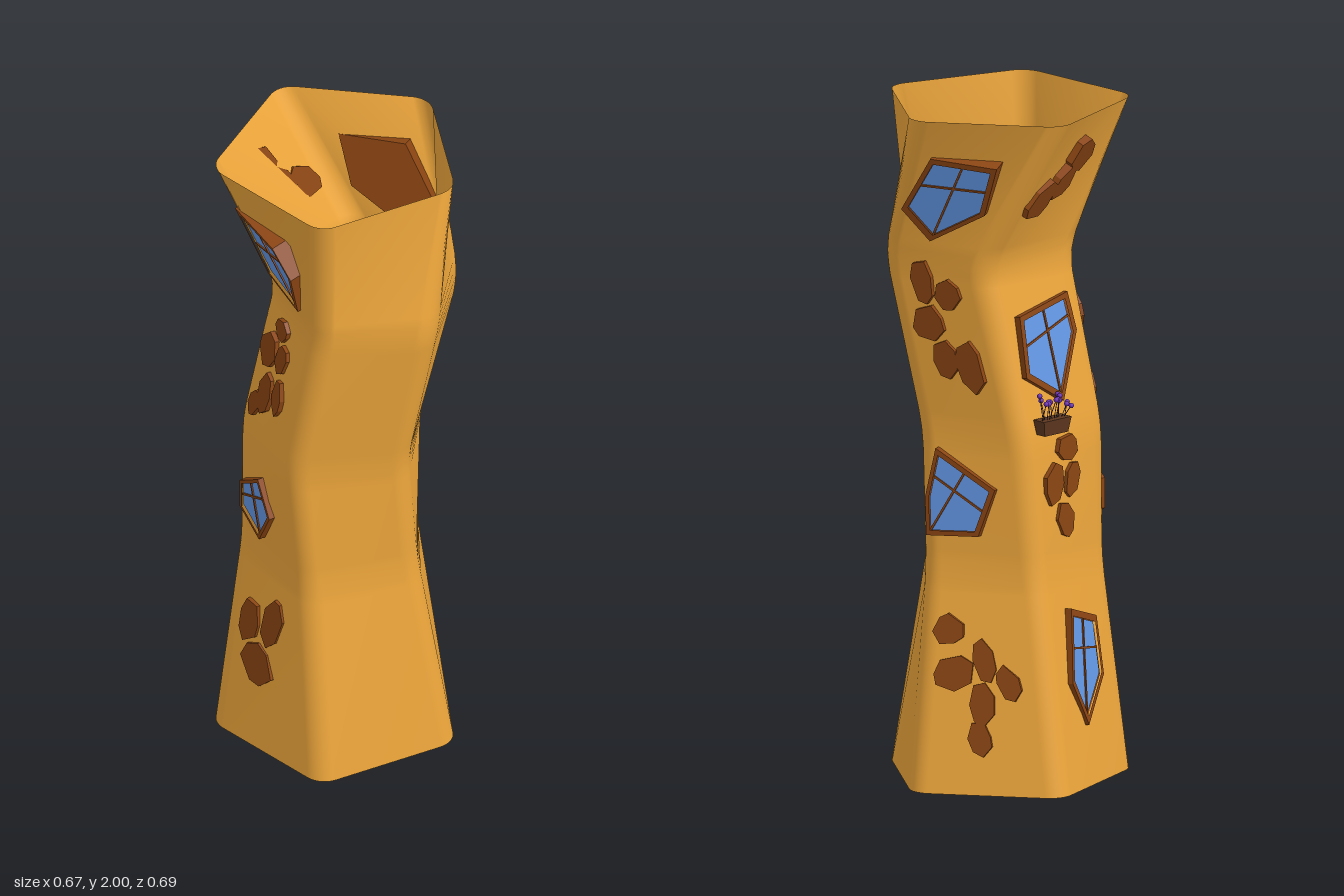
import * as THREE from 'three';

const mat = (color, side = THREE.FrontSide) => new THREE.MeshStandardMaterial({ color, side });
const plaster = mat(0xf0a83c, THREE.DoubleSide);
const brown = mat(0x8b4513), glass = mat(0x6499e8), boxWood = mat(0x5e3820);
const purple = mat(0x6a2fb0), stemGreen = mat(0x3a3048);

// Tower sections: rounded pentagons, each shifted and twisted
const levels = [
  { y: 0, x: -0.025, z: 0, R: 0.29, r: 0.07, twist: 0 },
  { y: 0.64, x: -0.026, z: 0.015, R: 0.205, r: 0.068, twist: 9 },
  { y: 1.04, x: -0.025, z: 0.025, R: 0.2, r: 0.07, twist: 18 },
  { y: 1.55, x: 0.078, z: 0.015, R: 0.2, r: 0.075, twist: 23 },
  { y: 2, x: -0.025, z: 0, R: 0.29, r: 0.07, twist: 0 },
];
const rad = THREE.MathUtils.degToRad;

function between(y, pointAt) {
  let i = 0;
  while (i < levels.length - 2 && y > levels[i + 1].y) i++;
  const a = levels[i], b = levels[i + 1];
  return pointAt(a).lerp(pointAt(b), (y - a.y) / (b.y - a.y));
}

// Point on a section: corner k, step j of its arc
const ARC = 8;
const ringPoint = (k, j) => (L) => {
  const c = rad(L.twist + 72 * k), a = c + rad(-36 + (72 * j) / ARC);
  return new THREE.Vector3(L.x + L.R * Math.cos(c) + L.r * Math.cos(a), L.y,
    L.z + L.R * Math.sin(c) + L.r * Math.sin(a));
};

function towerWall() {
  const rows = [];
  levels.forEach((L, i) => {
    if (i === 0 || i === levels.length - 1) rows.push(L.y);
    else for (let d = -2; d <= 2; d++) rows.push(L.y + d * 0.03);
  });
  const n = 5 * (ARC + 1), pos = [], index = [];
  rows.forEach((y) => {
    // soften the bends by averaging just above and below
    const w = Math.min(0.05, y, 2 - y);
    for (let k = 0; k < 5; k++) for (let j = 0; j <= ARC; j++) {
      const f = ringPoint(k, j);
      const p = between(y, f).add(between(y - w, f)).add(between(y + w, f)).divideScalar(3);
      pos.push(p.x, p.y, p.z);
    }
  });
  for (let r = 0; r < rows.length - 1; r++) for (let i = 0; i < n; i++) {
    const a = r * n + i, b = r * n + ((i + 1) % n);
    index.push(a, a + n, b, b, a + n, b + n);
  }
  const g = new THREE.BufferGeometry();
  g.setAttribute('position', new THREE.Float32BufferAttribute(pos, 3));
  g.setIndex(index);
  g.computeVertexNormals();
  return new THREE.Mesh(g, plaster);
}

// Point on flat side, s to the right as seen from outside
const sidePoint = (angle, s) => (L) => {
  const a = rad(angle + L.twist), d = L.R * Math.cos(rad(36)) + L.r;
  return new THREE.Vector3(L.x + d * Math.cos(a) + s * Math.sin(a), L.y,
    L.z + d * Math.sin(a) - s * Math.cos(a));
};

// Group lying on the wall: x right, y up the slope, z outward
function onWall(name, angle, y, s, upright = false) {
  const g = new THREE.Group();
  g.name = name;
  const at = (yy, ss) => between(yy, sidePoint(angle, ss));
  const X = at(y, s + 0.1).sub(at(y, s - 0.1)).normalize();
  const up = upright ? new THREE.Vector3(0, 1, 0) : at(y + 0.1, s).sub(at(y - 0.1, s));
  const Z = X.clone().cross(up).normalize();
  g.quaternion.setFromRotationMatrix(new THREE.Matrix4().makeBasis(X, Z.clone().cross(X), Z));
  g.position.copy(at(y, s));
  return g;
}

const toShape = (pts) => new THREE.Shape(pts.map(([x, y]) => new THREE.Vector2(x, y)));

function slab(name, shape, z0, z1, material) {
  const g = new THREE.ExtrudeGeometry(shape, { depth: z1 - z0, bevelEnabled: false });
  g.translate(0, 0, z0);
  const m = new THREE.Mesh(g, material);
  m.name = name;
  return m;
}

function addWindow(parent, angle, y, s, pts) {
  const g = onWall('window', angle, y, s);
  const cx = pts.reduce((t, p) => t + p[0], 0) / pts.length;
  const cy = pts.reduce((t, p) => t + p[1], 0) / pts.length;
  const inner = pts.map(([a, b]) => [cx + (a - cx) * 0.86, cy + (b - cy) * 0.86]);
  const rim = toShape(pts);
  rim.holes.push(toShape(inner));
  g.add(slab('windowBack', toShape(pts), -0.03, 0.008, brown));
  g.add(slab('windowFrame', rim, 0.008, 0.022, brown));
  g.add(slab('windowPane', toShape(inner), 0.008, 0.014, glass));
  // crossing glazing bars
  const mid = (i) => [0, 1].map((c) => (inner[i][c] + inner[(i + 1) % 5][c]) / 2);
  [[mid(0), inner[3]], [mid(1), mid(4)]].forEach(([a, b]) => {
    const dx = b[0] - a[0], dy = b[1] - a[1];
    const bar = new THREE.Mesh(new THREE.BoxGeometry(Math.hypot(dx, dy), 0.006, 0.006), brown);
    bar.name = 'glazingBar';
    bar.position.set((a[0] + b[0]) / 2, (a[1] + b[1]) / 2, 0.015);
    bar.rotation.z = Math.atan2(dy, dx);
    g.add(bar);
  });
  parent.add(g);
}

let seed = 7;
const rnd = () => (seed = (seed * 16807) % 2147483647) / 2147483647;

// Stones as [right, up, width, height, tilt]
function addStones(parent, angle, y, s, stones) {
  const g = onWall('stonePatch', angle, y, s);
  stones.forEach(([sx, sy, w, h, tilt]) => {
    const pts = [];
    for (let i = 0; i < 7; i++) {
      const a = ((i + 0.5 * rnd()) / 7) * Math.PI * 2, k = 0.47 + 0.08 * rnd();
      pts.push([w * k * Math.cos(a), h * k * Math.sin(a)]);
    }
    const m = slab('stone', toShape(pts), -0.012, 0.015, brown);
    m.position.set(sx, sy, 0);
    m.rotation.z = tilt;
    g.add(m);
  });
  parent.add(g);
}

function flowerBox() {
  const g = onWall('flowerBox', 180, 1.08, -0.065, true);
  const boxGeo = new THREE.BoxGeometry(0.11, 0.045, 0.045);
  const p = boxGeo.attributes.position;
  for (let i = 0; i < p.count; i++) if (p.getY(i) < 0) p.setXYZ(i, p.getX(i) * 0.85, p.getY(i), p.getZ(i) * 0.75);
  boxGeo.computeVertexNormals();
  const box = new THREE.Mesh(boxGeo, boxWood);
  box.name = 'planter';
  box.position.z = 0.028;
  g.add(box);
  for (let i = 0; i < 14; i++) {
    const x = -0.045 + (0.09 * i) / 13;
    const a = new THREE.Vector3(x, 0.015, 0.03);
    const b = new THREE.Vector3(x * 1.3, 0.045 + 0.055 * rnd(), 0.015 + 0.055 * rnd());
    const stem = new THREE.Mesh(new THREE.TubeGeometry(new THREE.LineCurve3(a, b), 1, 0.0015, 4), stemGreen);
    stem.name = 'stem';
    const bloom = new THREE.Mesh(new THREE.IcosahedronGeometry(0.008, 1), purple);
    bloom.name = 'bloom';
    bloom.position.copy(b);
    g.add(stem, bloom);
  }
  return g;
}

export function createModel() {
  const model = new THREE.Group();
  model.name = 'tower';
  const wall = towerWall();
  wall.name = 'towerWall';
  model.add(wall);

  // front side
  addWindow(model, 108, 1.74, -0.04, [[-0.125, 0.127], [0.063, 0.095], [0.125, 0.005], [0.106, -0.138], [-0.03, -0.074]]);
  addStones(model, 108, 1.3, -0.035, [[0.033, 0.164, 0.07, 0.07, 0.3], [-0.027, 0.06, 0.09, 0.13, -0.4], [0.053, 0.074, 0.06, 0.11, -0.3],
    [0.06, -0.053, 0.055, 0.12, 0], [-0.013, -0.085, 0.075, 0.15, -0.2], [-0.065, -0.15, 0.055, 0.1, -0.4]]);
  addWindow(model, 108, 0.82, -0.04, [[-0.08, 0.042], [0.018, 0.106], [0.08, 0], [0.025, -0.106], [-0.08, -0.048]]);
  addStones(model, 108, 0.385, -0.03, [[-0.047, 0.03, 0.08, 0.16, -0.15], [0.047, 0.063, 0.085, 0.18, -0.2], [0, -0.1, 0.13, 0.13, 0.5]]);

  // side facing -x
  addStones(model, 180, 1.8, -0.045, [[0.066, 0.08, 0.08, 0.11, -0.5], [0.02, -0.005, 0.06, 0.12, -0.6], [-0.065, -0.05, 0.08, 0.14, -0.7]]);
  addWindow(model, 180, 1.3, 0, [[-0.105, 0.1], [0.086, 0.145], [0.105, 0.03], [0.026, -0.165], [-0.105, -0.08]]);
  model.add(flowerBox());
  addStones(model, 180, 0.88, -0.037, [[0.026, 0.12, 0.08, 0.08, 0.2], [-0.03, 0.025, 0.075, 0.13, -0.2], [0.045, 0.025, 0.06, 0.1, -0.2], [0.013, -0.09, 0.07, 0.11, 0.2]]);
  addWindow(model, 180, 0.35, -0.01, [[-0.06, 0.18], [0.066, 0.135], [0.075, -0.04], [-0.026, -0.17], [-0.09, -0.036]]);

  // back side
  addWindow(model, 252, 1.77, -0.02, [[-0.05, 0.118], [0.155, 0.104], [0.104, -0.05], [-0.074, -0.149], [-0.155, -0.053]]);
  addStones(model, 252, 1.35, 0, [[-0.074, 0.14, 0.07, 0.13, 0.2], [0.01, 0.11, 0.08, 0.09, 0.4], [-0.055, 0.015, 0.1, 0.11, 0.3],
    [0, -0.085, 0.08, 0.12, 0.3], [0.08, -0.1, 0.08, 0.17, 0.3]]);
  addWindow(model, 252, 0.88, -0.04, [[-0.08, 0.12], [0.11, 0.014], [0.06, -0.128], [-0.104, -0.139], [-0.11, -0.027]]);
  addStones(model, 252, 0.33, -0.02, [[-0.09, 0.145, 0.1, 0.09, 0.3], [-0.067, 0.018, 0.13, 0.1, 0.2], [0.02, 0.06, 0.065, 0.14, 0.3],
    [0.02, -0.07, 0.08, 0.13, 0.1], [0.096, -0.003, 0.07, 0.11, 0.5], [0.015, -0.167, 0.07, 0.1, 0.2]]);
  return model;
}
